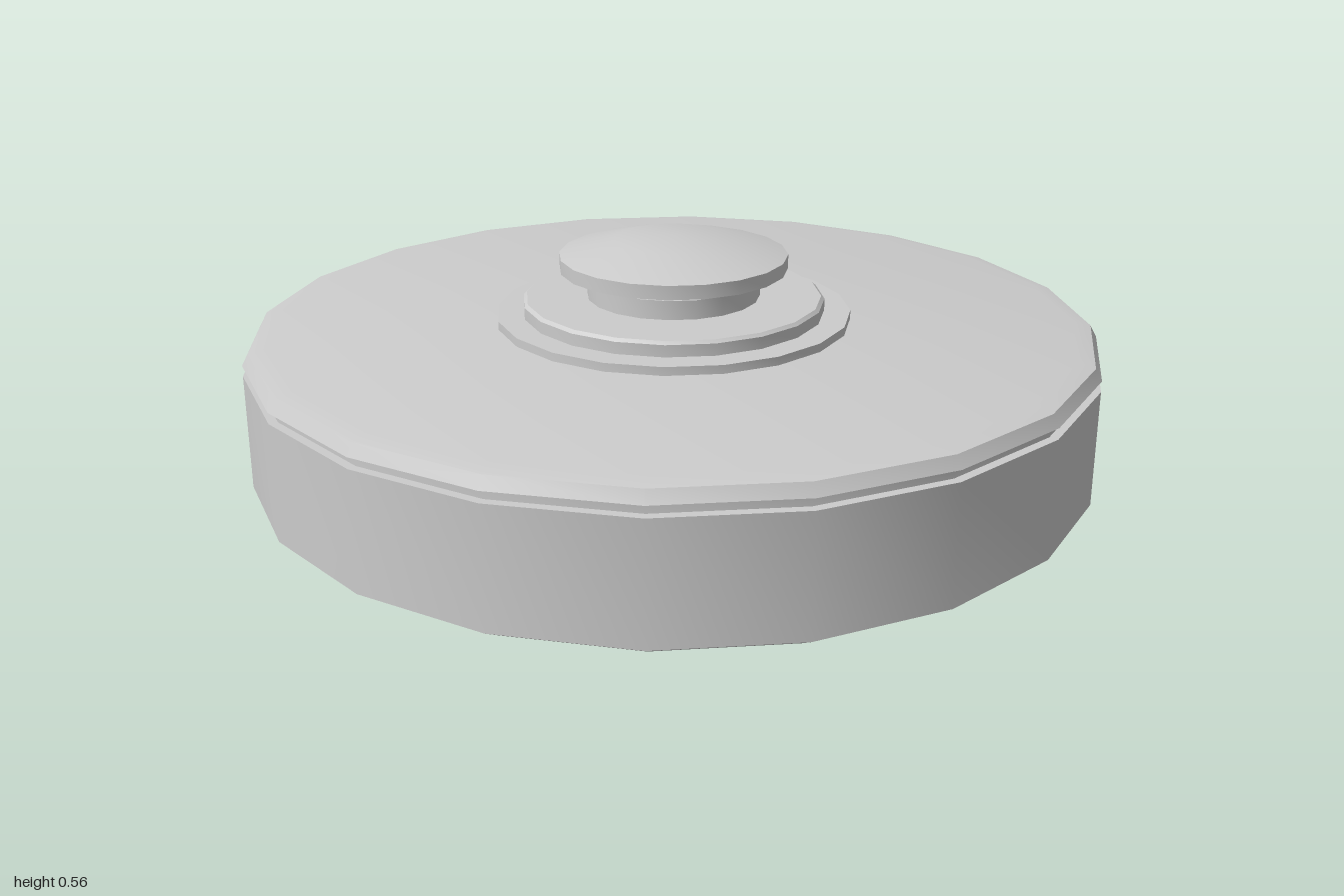
import * as THREE from 'three';
import { toCreasedNormals } from 'three/addons/utils/BufferGeometryUtils.js';

const SIDES = 20;

// Revolve a bottom-to-top [radius, height] profile, keeping sharp rims
function turned(name, profile, crease = 0.4) {
  const points = profile.map(([r, y]) => new THREE.Vector2(r, y));
  const geometry = toCreasedNormals(new THREE.LatheGeometry(points, SIDES), crease);
  const mesh = new THREE.Mesh(geometry, new THREE.MeshStandardMaterial({ color: 0xcccccc }));
  mesh.name = name;
  return mesh;
}

export function createModel() {
  const group = new THREE.Group();
  group.name = 'roundCanister';

  group.add(
    // Drum with a bevelled foot
    turned('body', [[0, 0], [0.95, 0], [1, 0.03], [1, 0.3], [0.98, 0.3]]),
    // Recessed seam between drum and lid
    turned('seam', [[0.98, 0.3], [0.98, 0.325]]),
    // Lid with a stepped, bevelled rim
    turned('lid', [[0.98, 0.325], [1, 0.325], [0.985, 0.352], [0.945, 0.36], [0, 0.36]], 0.33),
    // Two stacked discs under the button
    turned('lowerDisc', [[0.42, 0.36], [0.42, 0.38], [0, 0.38]]),
    turned('upperDisc', [[0.358, 0.38], [0.358, 0.408], [0.35, 0.415], [0, 0.415]]),
    // Stem with a narrow neck
    turned('stem', [[0.205, 0.415], [0.205, 0.46], [0.19, 0.46], [0.19, 0.485]]),
    // Domed button
    turned('button', [[0, 0.482], [0.27, 0.482], [0.27, 0.515], [0.14, 0.55], [0, 0.558]]),
  );
  return group;
}
